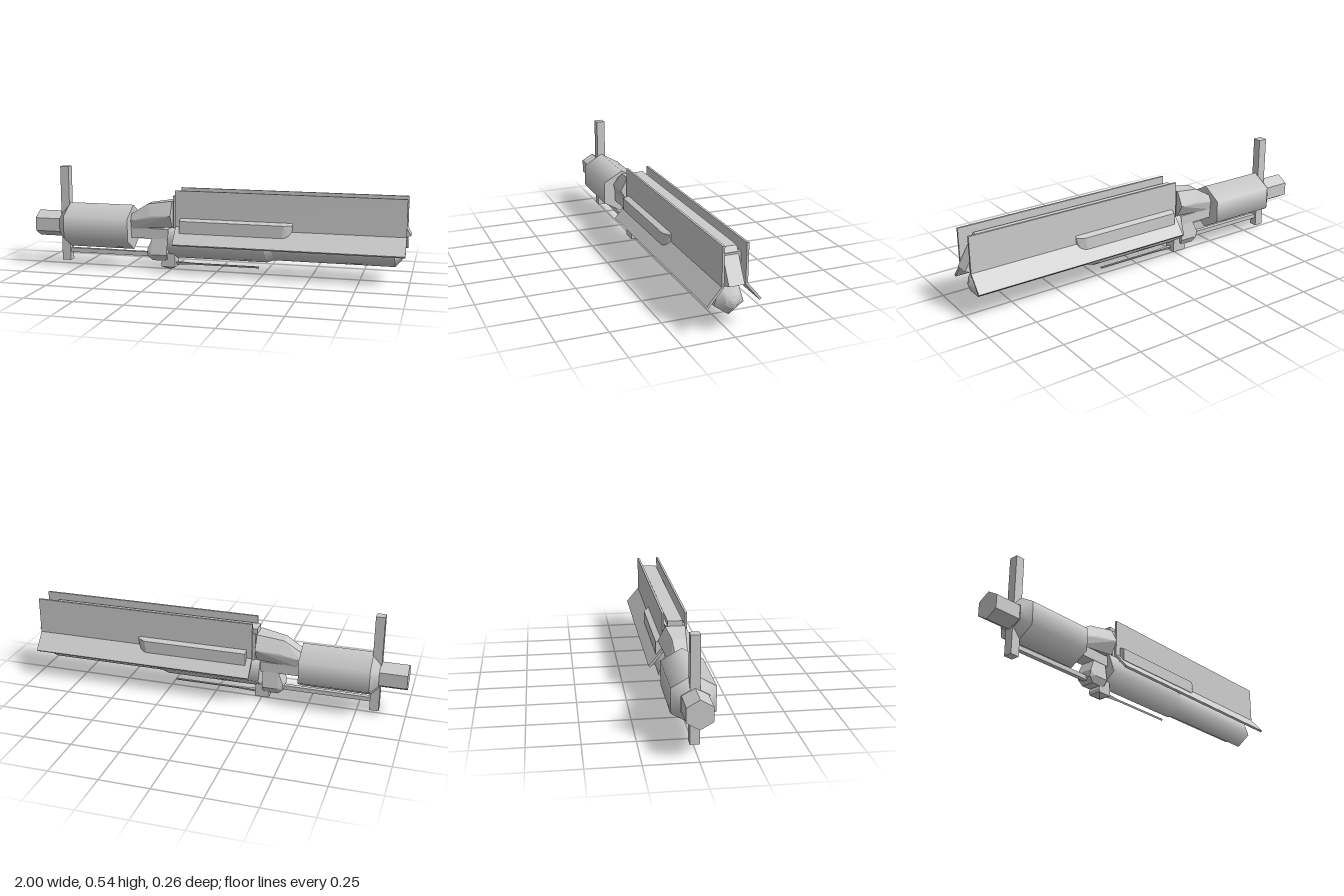
import * as THREE from 'three';
import { ConvexGeometry } from 'three/addons/geometries/ConvexGeometry.js';

const flat = new THREE.MeshStandardMaterial({ color: 0xcccccc, flatShading: true });
const smooth = new THREE.MeshStandardMaterial({ color: 0xcccccc });

export function createModel() {
  const model = new THREE.Group();

  const add = (name, geometry, material = flat) => {
    const mesh = new THREE.Mesh(geometry, material);
    mesh.name = name;
    model.add(mesh);
    return mesh;
  };

  // Box given by its limits on each axis
  const box = (name, x0, x1, y0, y1, z0, z1) => {
    const g = new THREE.BoxGeometry(x1 - x0, y1 - y0, z1 - z0);
    g.translate((x0 + x1) / 2, (y0 + y1) / 2, (z0 + z1) / 2);
    return add(name, g);
  };

  // Regular prism or frustum along x, with one corner pointing down
  const prism = (name, sides, x0, x1, r0, r1, y, material = flat) => {
    const g = new THREE.CylinderGeometry(r1, r0, x1 - x0, sides, 1, false, Math.PI / 2);
    g.rotateZ(-Math.PI / 2);
    g.translate((x0 + x1) / 2, y, 0);
    return add(name, g, material);
  };

  // Outline of [z, y] points extruded along x
  const extrudeX = (name, points, x0, x1) => {
    const shape = new THREE.Shape(points.map(([z, y]) => new THREE.Vector2(-z, y)));
    const g = new THREE.ExtrudeGeometry(shape, { depth: x1 - x0, bevelEnabled: false });
    g.rotateY(Math.PI / 2);
    g.translate(x0, 0, 0);
    return add(name, g);
  };

  // Outline of [x, y] points extruded across the middle plane
  const extrudeZ = (name, points, half) => {
    const shape = new THREE.Shape(points.map(([x, y]) => new THREE.Vector2(x, y)));
    const g = new THREE.ExtrudeGeometry(shape, { depth: 2 * half, bevelEnabled: false });
    g.translate(0, 0, -half);
    return add(name, g);
  };

  // Faceted convex block from [x, y, z] corners, mirrored in z
  const hull = (name, corners) => add(name, new ConvexGeometry(
    corners.flatMap(([x, y, z]) => [new THREE.Vector3(x, y, z), new THREE.Vector3(x, y, -z)])));

  // Rear end: hexagonal shaft, crossing post and main drum
  prism('rearShaft', 6, -1, -0.85, 0.07, 0.07, 0.22);
  box('crossPost', -0.865, -0.818, 0.022, 0.535, -0.023, 0.023);
  prism('drumShoulder', 6, -0.86, -0.82, 0.075, 0.12, 0.218, smooth);
  prism('drum', 6, -0.82, -0.46, 0.12, 0.12, 0.218, smooth);

  // Faceted neck between drum and receiver
  hull('neck', [
    [-0.46, 0.295, 0.03], [-0.46, 0.26, 0.05], [-0.46, 0.215, 0.04],
    [-0.37, 0.352, 0.035], [-0.35, 0.29, 0.068],
    [-0.23, 0.374, 0.05], [-0.23, 0.3, 0.088], [-0.23, 0.235, 0.05],
  ]);
  box('lowerFrame', -0.47, -0.2, 0.168, 0.222, -0.042, 0.042);

  // Receiver core with wedge nose, flanked by inner plates
  extrudeZ('core', [[-0.228, 0.22], [0.91, 0.22], [1, 0.248], [0.91, 0.4], [-0.228, 0.4]], 0.038);
  box('innerPlates', -0.222, 0.93, 0.225, 0.375, -0.05, 0.05);

  for (const s of [1, -1]) {
    const side = s > 0 ? 'front' : 'back';

    // Bent shield, upright above and splayed below
    extrudeX(side + 'Shield', [
      [0.052, 0.433], [0.063, 0.433], [0.063, 0.243], [0.132, 0.16],
      [0.124, 0.152], [0.052, 0.239],
    ].map(([z, y]) => [s * z, y]), -0.208, 0.98);

    // Long rib on the shield with a bevelled forward end
    add(side + 'Rib', new ConvexGeometry([
      [-0.18, 0.29, 0.058], [-0.18, 0.277, 0.092], [-0.18, 0.213, 0.092], [-0.18, 0.213, 0.058],
      [0.41, 0.29, 0.058], [0.41, 0.24, 0.058], [0.39, 0.213, 0.058],
      [0.41, 0.277, 0.07], [0.37, 0.277, 0.092], [0.36, 0.213, 0.092], [0.39, 0.213, 0.08],
    ].map(([x, y, z]) => new THREE.Vector3(x, y, s * z))));
  }

  // Five-sided barrel with domed tip, and its rear sleeve
  prism('barrel', 5, -0.25, 0.925, 0.077, 0.077, 0.155, smooth);
  prism('barrelBevel', 5, 0.925, 0.96, 0.077, 0.035, 0.155, smooth);
  prism('barrelTip', 5, 0.96, 0.97, 0.035, 0.01, 0.155, smooth);
  prism('sleeve', 5, -0.25, 0.27, 0.092, 0.092, 0.157, smooth);
  prism('sleeveTaper', 5, 0.27, 0.31, 0.092, 0.077, 0.157, smooth);

  // Lower linkage: rod, clamp block, foot and needle
  box('linkRod', -0.83, -0.34, 0.065, 0.088, -0.012, 0.012);
  hull('clampBlock', [
    [-0.345, 0.168, 0.04], [-0.262, 0.168, 0.04], [-0.37, 0.11, 0.045],
    [-0.37, 0.075, 0.04], [-0.345, 0.05, 0.034], [-0.28, 0.05, 0.034],
    [-0.345, 0.083, 0.053], [-0.262, 0.083, 0.053], [-0.262, 0.06, 0.036],
  ]);
  hull('foot', [
    [-0.28, 0.09, 0.034], [-0.225, 0.09, 0.034], [-0.298, 0.035, 0.034],
    [-0.295, 0.018, 0.034], [-0.22, 0.05, 0.034], [-0.22, 0.018, 0.034], [-0.258, 0, 0],
  ]);
  prism('needleBase', 3, -0.24, -0.12, 0.013, 0.006, 0.036);
  prism('needle', 3, -0.12, 0.225, 0.006, 0.006, 0.036);

  return model;
}
